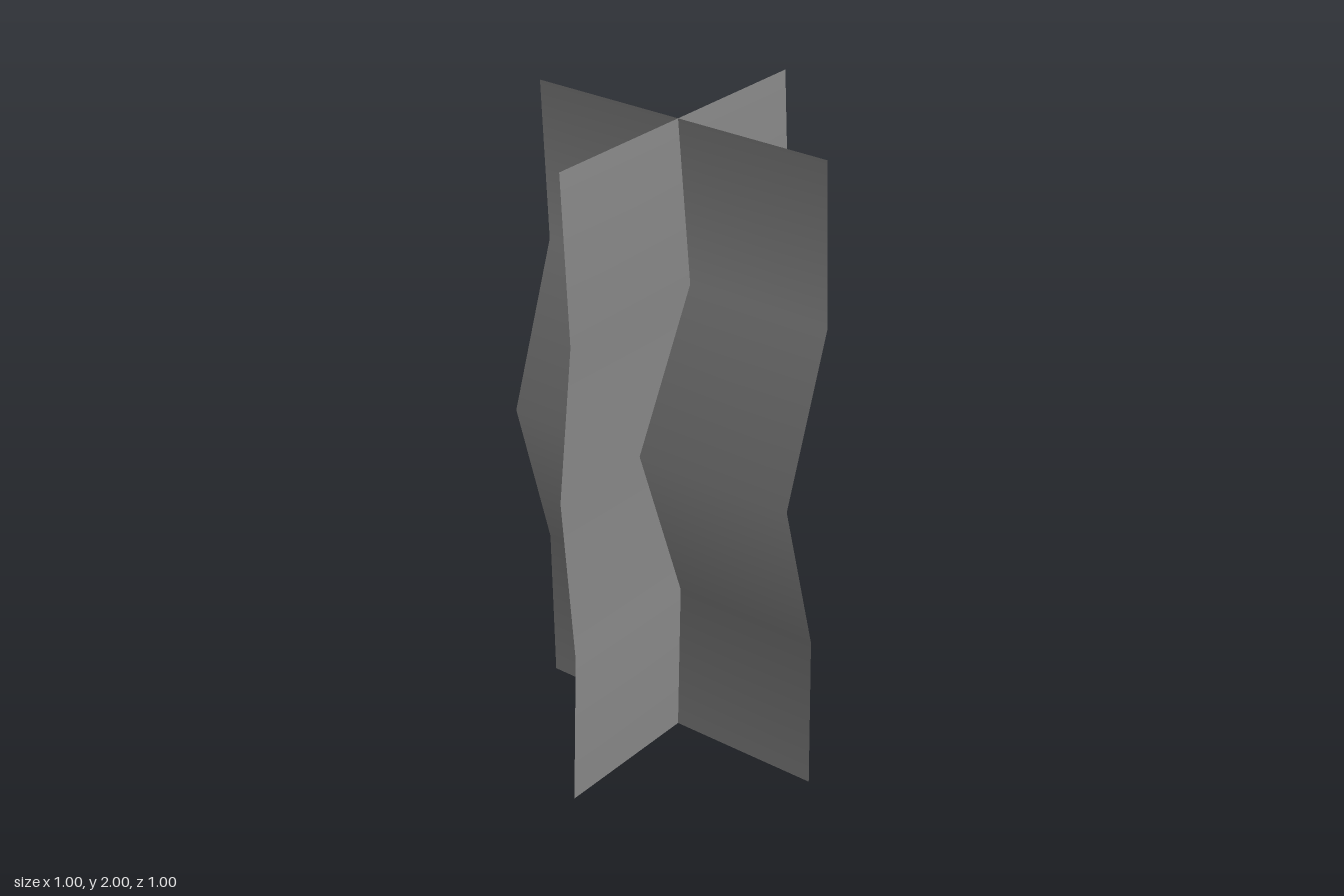
import * as THREE from 'three';

const HEIGHT = 2;
const WIDTH = 1;

// Upright sheet, open and thin, pushed sideways row by row (offsets from bottom to top)
function wavySheet(name, offsets, material) {
  const rows = offsets.length - 1;
  const step = HEIGHT / rows;
  const geometry = new THREE.PlaneGeometry(WIDTH, HEIGHT, 2, rows);
  geometry.translate(0, HEIGHT / 2, 0);
  const { position, normal } = geometry.attributes;
  const direction = new THREE.Vector3();
  for (let i = 0; i < position.count; i++) {
    const row = Math.round(position.getY(i) / step);
    position.setZ(i, offsets[row]);
    // Smooth normal from the slope between the neighbouring rows, even across the width
    const below = Math.max(row - 1, 0);
    const above = Math.min(row + 1, rows);
    const slope = (offsets[above] - offsets[below]) / ((above - below) * step);
    direction.set(0, -slope, 1).normalize();
    normal.setXYZ(i, direction.x, direction.y, direction.z);
  }
  const mesh = new THREE.Mesh(geometry, material);
  mesh.name = name;
  return mesh;
}

export function createModel() {
  const group = new THREE.Group();
  group.name = 'crossedSheets';
  const material = new THREE.MeshStandardMaterial({ color: 0x888888, side: THREE.DoubleSide });

  // Sheet across the width, bending gently in z
  group.add(wavySheet('wideSheet', [0, 0.018, -0.025, 0.025, 0], material));

  // Sheet running front to back, bending strongly toward -x at mid height
  const deepSheet = wavySheet('deepSheet', [0, -0.01, -0.148, 0.024, 0], material);
  deepSheet.rotation.y = Math.PI / 2;
  group.add(deepSheet);

  return group;
}
